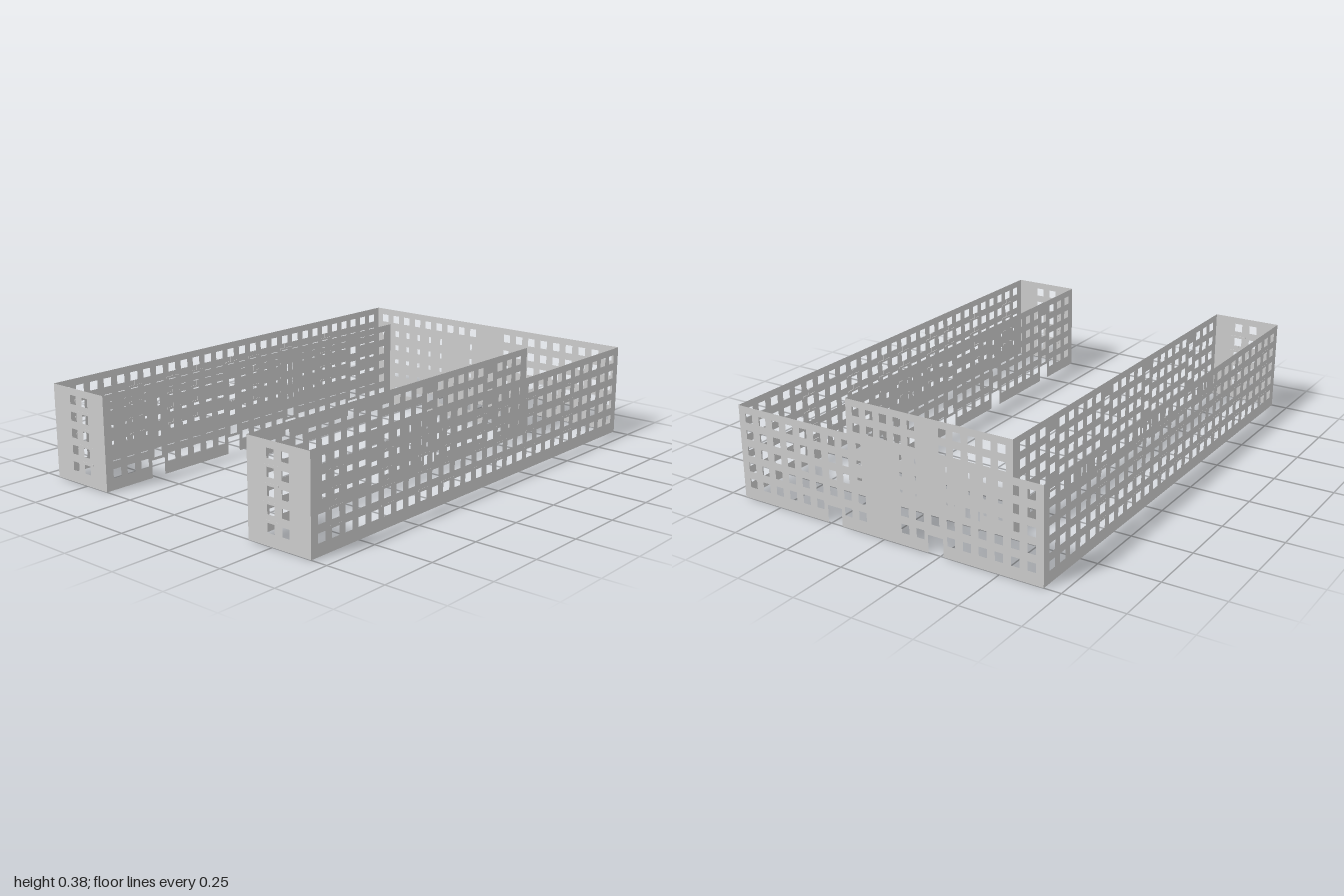
import * as THREE from 'three';

const H = 0.385, X = 0.68, Z = 1, INX = 0.384, INZ = -0.73;
const ROWS = [0.067, 0.135, 0.202, 0.27, 0.338];
const WIN_H = 0.036, DOOR_W = 0.066, DOOR_H = 0.072;
const range = (n, start, step) => Array.from({ length: n }, (_, i) => start + i * step);

// Thin wall sheet from u = a to b, with door notches and window holes
function wallGeometry(a, b, columns, winW, doors = [], stairs = []) {
  const shape = new THREE.Shape();
  shape.moveTo(a, 0);
  for (const d of [...doors].sort((p, q) => p - q)) {
    const l = d - DOOR_W / 2, r = d + DOOR_W / 2;
    shape.lineTo(l, 0).lineTo(l, DOOR_H).lineTo(r, DOOR_H).lineTo(r, 0);
  }
  shape.lineTo(b, 0).lineTo(b, H).lineTo(a, H).closePath();
  const hole = (u, y) => {
    const w = winW / 2, h = WIN_H / 2, p = new THREE.Path();
    p.moveTo(u - w, y - h).lineTo(u - w, y + h).lineTo(u + w, y + h).lineTo(u + w, y - h).closePath();
    shape.holes.push(p);
  };
  for (const u of columns) {
    ROWS.forEach((y, i) => {
      const blocked = i === 0 && doors.some(d => Math.abs(d - u) < (DOOR_W + winW) / 2);
      if (!blocked) hole(u, y);
    });
  }
  // Stairwell windows sit half a storey up
  for (const u of stairs) for (let i = 0; i < 4; i++) hole(u, (ROWS[i] + ROWS[i + 1]) / 2);
  return new THREE.ShapeGeometry(shape);
}

export function createModel() {
  const model = new THREE.Group();
  model.name = 'apartmentBlock';
  const material = new THREE.MeshStandardMaterial({ color: 0xcccccc, side: THREE.DoubleSide });

  const add = (name, geometry, x, y, z, parent = model) => {
    const mesh = new THREE.Mesh(geometry, material);
    mesh.name = name;
    mesh.position.set(x, y, z);
    parent.add(mesh);
    return mesh;
  };

  // Flat facade trim: a slim upright crossed by a ledge between storeys
  const trim = (name, x, z, alongZ) => {
    const group = new THREE.Group();
    group.name = name;
    for (let i = 0; i < 4; i++) {
      const y = (ROWS[i] + ROWS[i + 1]) / 2;
      add('ledge', new THREE.BoxGeometry(0.075, 0.007, 0.003), 0, y - 0.009, 0, group);
      add('upright', new THREE.BoxGeometry(0.012, 0.03, 0.002), 0, y, 0, group);
    }
    group.position.set(x, 0, z);
    if (alongZ) group.rotation.y = Math.PI / 2;
    model.add(group);
  };

  // Back wall and the courtyard wall parallel to it
  const mirror = list => [...list.map(v => -v), ...list];
  add('backWall', wallGeometry(-X, X, mirror(range(9, 0.097, 0.0669)), 0.034, [-0.23, 0.23]), 0, 0, -Z);
  add('courtyardBackWall',
    wallGeometry(-INX, INX, mirror(range(5, 0.072, 0.066)), 0.034, [-0.205, 0.205]), 0, 0, INZ);

  // Long walls of both wings
  const outerColumns = range(28, 0.945, -0.07);
  const stairIndex = [3, 9, 14, 20];
  const stairs = stairIndex.map(i => outerColumns[i]);
  const innerColumns = outerColumns.filter((u, i) => i < 24 && !stairIndex.includes(i));
  const outer = wallGeometry(-Z, Z, outerColumns, 0.038).rotateY(-Math.PI / 2);
  const inner = wallGeometry(INZ, Z, innerColumns, 0.038, stairs, stairs).rotateY(-Math.PI / 2);

  for (const [side, s] of [['left', 1], ['right', -1]]) {
    add(side + 'OuterWall', outer, s * X, 0, 0);
    add(side + 'CourtyardWall', inner, s * INX, 0, 0);
    // Wing end wall facing the front
    const ends = [Math.min(s * INX, s * X), Math.max(s * INX, s * X)];
    add(side + 'EndWall', wallGeometry(...ends, [s * 0.495, s * 0.565], 0.034), 0, 0, Z);
    trim(side + 'EndTrim', s * 0.495, Z - 0.001, false);
    for (const i of [1, 5, 8, 10, 13, 15, 18, 22])
      trim(side + 'WallTrim', s * (X - 0.001), outerColumns[i] - 0.005, true);
  }
  return model;
}
